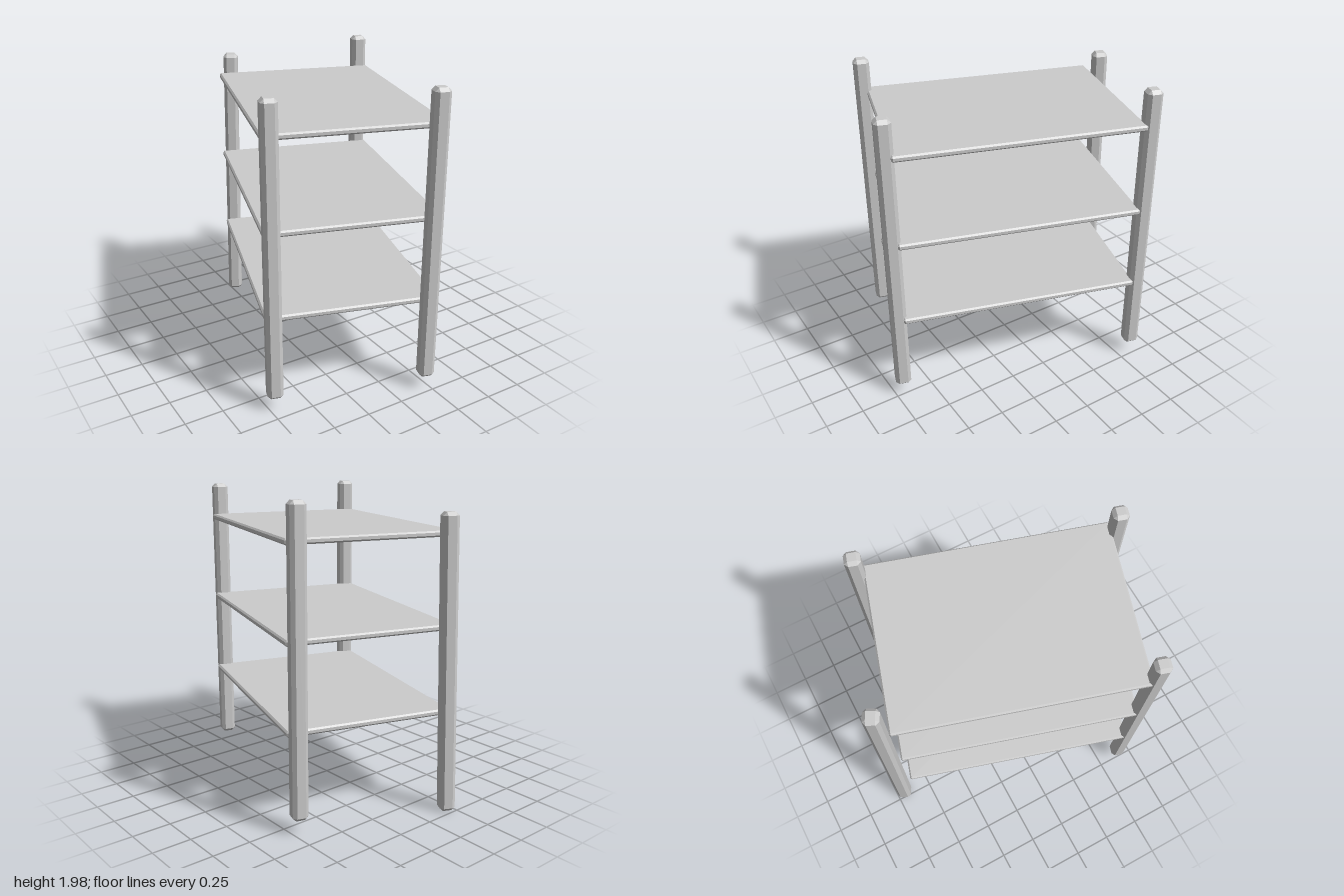
import * as THREE from 'three';
import { ConvexGeometry } from 'three/addons/geometries/ConvexGeometry.js';

const material = new THREE.MeshStandardMaterial({ color: 0xcccccc, flatShading: true });
const YAW = THREE.MathUtils.degToRad(-17);

// Box with every edge bevelled by c and every corner cut to a triangle
function bevelledBox(w, h, d, c) {
  const [x, y, z] = [w / 2, h / 2, d / 2];
  const points = [];
  for (const sx of [-1, 1]) for (const sy of [-1, 1]) for (const sz of [-1, 1]) {
    points.push(
      new THREE.Vector3(sx * x, sy * (y - c), sz * (z - c)),
      new THREE.Vector3(sx * (x - c), sy * y, sz * (z - c)),
      new THREE.Vector3(sx * (x - c), sy * (y - c), sz * z),
    );
  }
  return new ConvexGeometry(points);
}

export function createModel() {
  const model = new THREE.Group();
  model.name = 'shelfUnit';

  const add = (name, geometry, x, y, z) => {
    const mesh = new THREE.Mesh(geometry, material);
    mesh.name = name;
    mesh.position.set(x, y, z);
    mesh.rotation.y = YAW;
    model.add(mesh);
    return mesh;
  };

  // Three boards, turned with the whole unit
  const board = bevelledBox(1.095, 0.038, 1.545, 0.01);
  [['lowerShelf', 0.625], ['middleShelf', 1.175], ['upperShelf', 1.755]]
    .forEach(([name, y]) => add(name, board, 0, y, 0.035));

  // Upright posts at three corners
  const post = bevelledBox(0.1, 1.887, 0.1, 0.022);
  add('frontRightPost', post, -0.713, 1.043, 0.647);
  add('frontLeftPost', post, 0.226, 1.043, 0.942);
  add('backLeftPost', post, 0.706, 1.043, -0.595);

  // The loose fourth post has slipped down, twisted and leans
  const loose = add('looseBackRightPost', post, -0.197, 0.951, -0.924);
  const lean = new THREE.Vector3(0.025, 1.887, 0.035).normalize();
  const up = new THREE.Vector3(0, 1, 0);
  loose.quaternion.setFromUnitVectors(up, lean)
    .multiply(new THREE.Quaternion().setFromAxisAngle(up, THREE.MathUtils.degToRad(-28)));

  return model;
}
